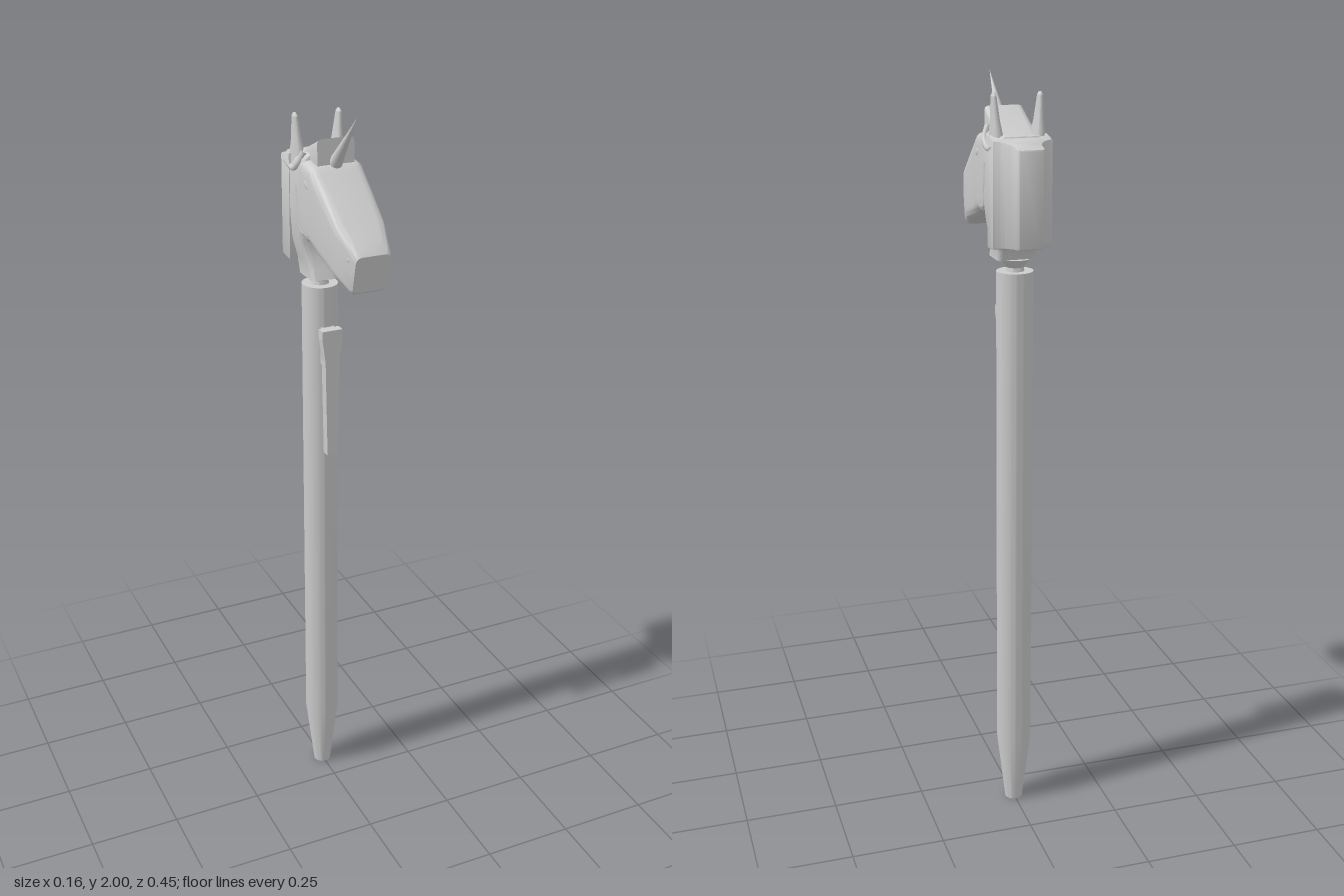
import * as THREE from 'three';
import { toCreasedNormals } from 'three/addons/utils/BufferGeometryUtils.js';

const material = new THREE.MeshStandardMaterial({ color: 0xcccccc });
const AXIS_Z = -0.09; // pen axis

// Loft through rounded-box rings; each section is [zA, yA, zB, yB, halfWidth]
function loft(sections, power = 0.3, n = 32) {
  const pos = [], idx = [];
  const round = (t) => Math.sign(t) * Math.pow(Math.abs(t), power);
  for (const [za, ya, zb, yb, w] of sections) {
    for (let j = 0; j < n; j++) {
      const t = (j / n) * Math.PI * 2;
      const u = round(Math.cos(t)), v = round(Math.sin(t));
      pos.push(u * w, (ya + yb) / 2 + (v * (ya - yb)) / 2, (za + zb) / 2 + (v * (za - zb)) / 2);
    }
  }
  const last = sections.length - 1;
  for (let i = 0; i < last; i++) {
    for (let j = 0; j < n; j++) {
      const k = (j + 1) % n;
      const a = i * n + j, b = i * n + k, c = a + n, d = b + n;
      idx.push(a, b, d, a, d, c);
    }
  }
  // End caps
  for (const i of [0, last]) {
    const [za, ya, zb, yb] = sections[i];
    const m = pos.length / 3;
    pos.push(0, (ya + yb) / 2, (za + zb) / 2);
    for (let j = 0; j < n; j++) {
      const a = i * n + j, b = i * n + ((j + 1) % n);
      if (i === 0) idx.push(m, b, a);
      else idx.push(m, a, b);
    }
  }
  const g = new THREE.BufferGeometry();
  g.setAttribute('position', new THREE.Float32BufferAttribute(pos, 3));
  g.setIndex(idx);
  return toCreasedNormals(g, 0.7);
}

function lathe(points, segments = 48) {
  return toCreasedNormals(new THREE.LatheGeometry(points.map(([r, y]) => new THREE.Vector2(r, y)), segments), 0.5);
}

export function createModel() {
  const model = new THREE.Group();
  const add = (name, geometry, x = 0, y = 0, z = 0, parent = model) => {
    const mesh = new THREE.Mesh(geometry, material);
    mesh.name = name;
    mesh.position.set(x, y, z);
    parent.add(mesh);
    return mesh;
  };

  // Pen body with tapered tip
  add('barrel', lathe([[0, 0], [0.024, 0], [0.047, 0.2], [0.047, 1.53], [0, 1.53]]), 0, 0, AXIS_Z);
  add('connector', lathe([[0, 1.52], [0.026, 1.52], [0.022, 1.54], [0.04, 1.562], [0, 1.562]], 32), 0, 0, AXIS_Z);

  // Tapered pocket clip with its mount
  const clip = new THREE.Group();
  clip.name = 'clip';
  model.add(clip);
  const outline = new THREE.Shape([
    [-0.015, 1.07], [0.015, 1.07], [0.02, 1.34], [0.028, 1.4], [0.028, 1.425],
    [-0.028, 1.425], [-0.028, 1.4], [-0.02, 1.34],
  ].map(([x, y]) => new THREE.Vector2(x, y)));
  add('clipArm', new THREE.ExtrudeGeometry(outline, { depth: 0.025, bevelEnabled: false }), 0, 0, -0.035, clip);
  add('clipMount', new THREE.BoxGeometry(0.036, 0.1, 0.04), 0, 1.373, -0.048, clip);

  const head = new THREE.Group();
  head.name = 'head';
  model.add(head);

  // Neck, lofted upward (back edge, front edge, half width)
  add('neck', loft([
    [-0.114, 1.56, -0.02, 1.56, 0.05],
    [-0.122, 1.585, -0.03, 1.585, 0.05],
    [-0.14, 1.61, -0.04, 1.61, 0.056],
    [-0.15, 1.655, -0.052, 1.655, 0.068],
    [-0.15, 1.72, -0.04, 1.72, 0.073],
    [-0.15, 1.83, -0.03, 1.83, 0.073],
    [-0.145, 1.855, -0.03, 1.87, 0.066],
    [-0.14, 1.866, -0.03, 1.885, 0.05],
  ], 0.25), 0, 0, 0, head);

  // Mane: plan outline with hollow fillets, raised along the neck
  const plan = new THREE.Shape();
  plan.moveTo(-0.07, 0.11);
  plan.lineTo(0.07, 0.11);
  plan.lineTo(0.07, 0.15);
  plan.bezierCurveTo(0.05, 0.158, 0.033, 0.17, 0.031, 0.2);
  plan.lineTo(0.031, 0.21);
  plan.quadraticCurveTo(0.031, 0.22, 0.022, 0.22);
  plan.lineTo(-0.022, 0.22);
  plan.quadraticCurveTo(-0.031, 0.22, -0.031, 0.21);
  plan.lineTo(-0.031, 0.2);
  plan.bezierCurveTo(-0.033, 0.17, -0.05, 0.158, -0.07, 0.15);
  const maneGeo = new THREE.ExtrudeGeometry(plan, {
    depth: 0.23, bevelSize: 0.005, bevelThickness: 0.005, bevelSegments: 2, curveSegments: 10,
  });
  maneGeo.rotateX(-Math.PI / 2);
  // Top and bottom slope slightly along the neck
  const p = maneGeo.attributes.position;
  for (let i = 0; i < p.count; i++) {
    const back = -p.getZ(i) - 0.22;
    p.setY(i, p.getY(i) - back * (p.getY(i) > 0.1 ? 0.2 : -0.12));
  }
  maneGeo.computeVertexNormals();
  add('mane', toCreasedNormals(maneGeo, 0.6), 0, 1.612, 0, head);

  // Face and muzzle, lofted forward (top edge, bottom edge, half width)
  add('face', loft([
    [-0.1, 1.865, -0.08, 1.7, 0.066],
    [-0.06, 1.872, -0.055, 1.675, 0.072],
    [0.012, 1.862, -0.02, 1.664, 0.074],
    [0.03, 1.847, 0.0, 1.667, 0.073],
    [0.08, 1.812, 0.055, 1.645, 0.07],
    [0.15, 1.757, 0.13, 1.622, 0.067],
    [0.185, 1.731, 0.168, 1.608, 0.057],
    [0.215, 1.708, 0.195, 1.597, 0.05],
    [0.225, 1.697, 0.203, 1.602, 0.046],
  ], 0.28), 0, 0, 0, head);

  // Forelock wedge between the ears
  add('forelock', loft([
    [-0.145, 1.862, -0.13, 1.8, 0.045],
    [-0.065, 1.89, -0.06, 1.82, 0.05],
    [-0.01, 1.915, -0.01, 1.83, 0.05],
    [0.008, 1.925, 0.012, 1.845, 0.049],
  ], 0.2), 0, 0, 0, head);

  // Horn leaning forward
  const from = new THREE.Vector3(0, 1.85, -0.005), to = new THREE.Vector3(0, 2, 0.13);
  const dir = to.clone().sub(from);
  const horn = add('horn', new THREE.ConeGeometry(0.019, dir.length(), 24), 0, 0, 0, head);
  horn.position.copy(from).addScaledVector(dir, 0.5);
  horn.quaternion.setFromUnitVectors(new THREE.Vector3(0, 1, 0), dir.normalize());

  // Paired features
  for (const [side, s] of [['left', 1], ['right', -1]]) {
    const ear = add(side + 'Ear', lathe([
      [0.034, -0.02], [0.029, 0.02], [0.021, 0.05], [0.015, 0.09], [0.012, 0.11], [0.006, 0.117], [0, 0.118],
    ], 20), s * 0.052, 1.85, -0.103, head);
    ear.scale.x = 0.55;
    ear.rotation.z = -s * 0.06;

    const eye = add(side + 'Eye', new THREE.SphereGeometry(0.016, 16, 12), s * 0.069, 1.815, -0.005, head);
    eye.scale.set(0.4, 0.7, 1.2);
    eye.rotation.x = 0.5;

    // Strand of hair sweeping over the temple, and a cheek ridge
    const strand = new THREE.CatmullRomCurve3([[0.058, 1.885, -0.05], [0.069, 1.855, -0.06], [0.069, 1.835, -0.09],
      [0.068, 1.845, -0.14]].map(([x, y, z]) => new THREE.Vector3(s * x, y, z)));
    add(side + 'Strand', new THREE.TubeGeometry(strand, 20, 0.008, 8), 0, 0, 0, head);
    const cheek = new THREE.CatmullRomCurve3([[0.067, 1.8, -0.07], [0.067, 1.74, -0.062], [0.063, 1.69, -0.045],
      [0.064, 1.69, 0.0]].map(([x, y, z]) => new THREE.Vector3(s * x, y, z)));
    add(side + 'Cheek', new THREE.TubeGeometry(cheek, 20, 0.009, 8), 0, 0, 0, head);

    const nostril = add(side + 'Nostril', new THREE.SphereGeometry(0.012, 12, 8), s * 0.05, 1.685, 0.19, head);
    nostril.scale.set(0.4, 0.8, 1);
  }

  return model;
}
